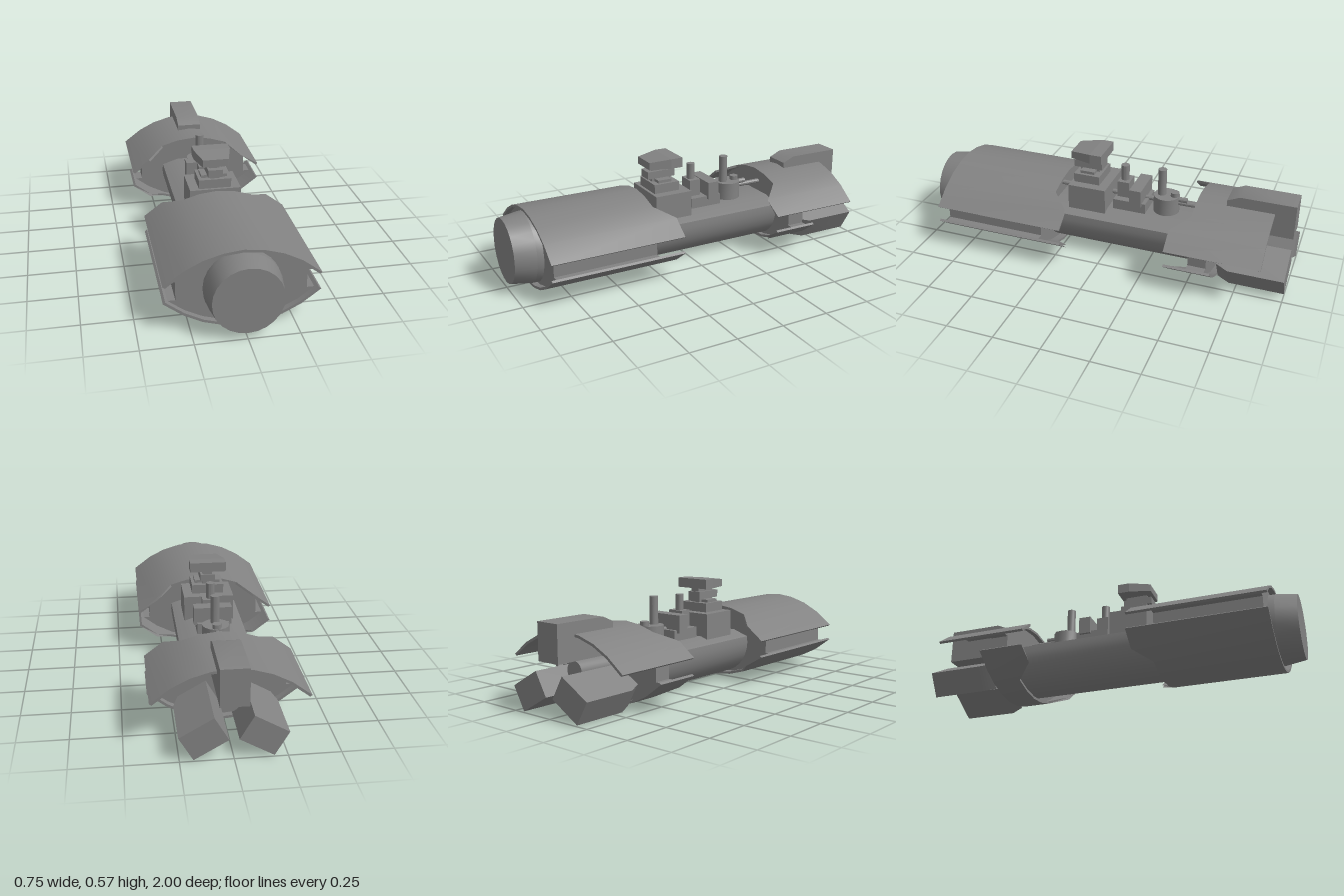
import * as THREE from 'three';
import { toCreasedNormals } from 'three/addons/utils/BufferGeometryUtils.js';

const CY = 0.205; // height of the long axis
const mat = new THREE.MeshStandardMaterial({ color: 0x828282 });

// upper half of the hull section, outer and inner skin
const OUTER = [[0, 0.407], [0.095, 0.396], [0.19, 0.368], [0.28, 0.322], [0.375, 0.25]];
const INNER = [[0, 0.393], [0.093, 0.383], [0.185, 0.356], [0.273, 0.311], [0.364, 0.242]];

const mirrorX = (pts) => [...pts.slice(1).reverse().map(([x, y]) => [-x, y]), ...pts];
const flipY = (pts) => pts.map(([x, y]) => [x, 2 * CY - y]);
const toShape = (pts) => new THREE.Shape(pts.map(([x, y]) => new THREE.Vector2(x, y)));

export function createModel() {
  const model = new THREE.Group();

  function add(name, geo, parent = model) {
    const mesh = new THREE.Mesh(toCreasedNormals(geo, 0.55), mat);
    mesh.name = name;
    parent.add(mesh);
  }
  // section in x/y drawn from z0 to z1
  function extrude(pts, z0, z1) {
    const geo = new THREE.ExtrudeGeometry(toShape(pts), { depth: z1 - z0, bevelEnabled: false });
    return geo.translate(0, 0, z0);
  }
  function box(name, halfX, y0, y1, z0, z1) {
    const geo = new THREE.BoxGeometry(2 * halfX, y1 - y0, z1 - z0);
    add(name, geo.translate(0, (y0 + y1) / 2, (z0 + z1) / 2));
  }
  function post(name, r, y0, y1, z, sides = 16) {
    const geo = new THREE.CylinderGeometry(r, r, y1 - y0, sides);
    add(name, geo.translate(0, (y0 + y1) / 2, z));
  }
  function axial(name, rBack, rFront, z0, z1, y = CY, sides = 24) {
    const geo = new THREE.CylinderGeometry(rFront, rBack, z1 - z0, sides).rotateX(Math.PI / 2);
    add(name, geo.translate(0, y, (z0 + z1) / 2));
  }

  // curved shell plates; the end facing the middle has projecting side tabs
  function shell(name, zEnd, zCut, upper) {
    const ring = [...mirrorX(OUTER), ...mirrorX(INNER).reverse()];
    const geo = extrude(upper ? ring : flipY(ring), Math.min(zEnd, zCut), Math.max(zEnd, zCut));
    const p = geo.attributes.position;
    const tab = zCut > 0 ? -0.09 : 0.09;
    for (let i = 0; i < p.count; i++) {
      if (Math.abs(p.getZ(i) - zCut) < 1e-4 && Math.abs(p.getX(i)) > 0.22) p.setZ(i, zCut + tab);
    }
    add(name, geo);
  }
  shell('frontUpperShell', 0.886, 0.26, true);
  shell('frontLowerShell', 0.886, 0.26, false);
  shell('rearUpperShell', -0.895, -0.49, true);
  shell('rearLowerShell', -0.643, -0.49, false);

  // solid hull between the shells, with a slot along each side
  const half = mirrorX([...INNER.slice(0, 4), [0.35, 0.253], [0.313, 0.253]]);
  const hull = [...half, ...flipY(half).reverse()];
  add('frontHull', extrude(hull, 0.3, 0.856));
  add('rearHull', extrude(hull, -0.61, -0.515));

  // central core: nose, middle with a shallow ridged top, and tail hub
  axial('nose', 0.187, 0.187, 0.85, 0.89);
  axial('noseTaper', 0.187, 0.17, 0.89, 1.0);
  const cut = Math.asin(0.033 / 0.187);
  const section = [[0.093, 0.268], [-0.093, 0.268]];
  for (let i = 0; i <= 18; i++) {
    const a = Math.PI - cut + (i / 18) * (Math.PI + 2 * cut);
    section.push([0.187 * Math.cos(a), CY + 0.187 * Math.sin(a)]);
  }
  add('core', extrude(section, -0.53, 0.31));
  axial('tailHub', 0.05, 0.05, -0.84, -0.6);

  // three engine blocks around the tail; profile is (-z, radius)
  const engine = [[0.645, 0.066], [1, 0.066], [1, 0.254], [0.71, 0.254], [0.645, 0.225]];
  [0, 1, 2].forEach((i) => {
    const pivot = new THREE.Group();
    pivot.name = 'engineMount' + (i + 1);
    pivot.position.y = i === 0 ? CY : CY - 0.01; // lower pair hangs slightly
    pivot.rotation.z = (i * Math.PI * 2) / 3;
    add('engine', extrude(engine, -0.068, 0.068).rotateY(Math.PI / 2), pivot);
    model.add(pivot);
  });

  // bridge tower
  box('towerBase', 0.135, 0.245, 0.393, 0.0, 0.21);
  box('towerBlock', 0.086, 0.38, 0.442, 0.05, 0.195);
  box('towerCap', 0.069, 0.44, 0.457, 0.085, 0.165);
  box('lowerNeck', 0.025, 0.44, 0.465, 0.07, 0.18);
  box('neckSlab', 0.039, 0.461, 0.501, 0.05, 0.21);
  box('upperNeck', 0.025, 0.5, 0.525, 0.06, 0.18);

  // bridge head: square back, tapered front whose top slopes down
  box('bridgeHeadBack', 0.097, 0.522, 0.574, 0.035, 0.1);
  const taper = [[-0.097, -0.1], [-0.067, -0.215], [0.067, -0.215], [0.097, -0.1]];
  const headGeo = extrude(taper, 0.522, 0.574).rotateX(-Math.PI / 2);
  const hp = headGeo.attributes.position;
  for (let i = 0; i < hp.count; i++) {
    if (hp.getY(i) > 0.57 && hp.getZ(i) > 0.2) hp.setY(i, 0.562);
  }
  add('bridgeHeadFront', headGeo);

  // deck machinery
  box('machineryBase', 0.085, 0.26, 0.325, -0.21, -0.03);
  box('mastBlock', 0.045, 0.32, 0.415, -0.105, -0.04);
  post('shortMast', 0.022, 0.41, 0.5, -0.07);
  box('crossBlock', 0.1, 0.31, 0.405, -0.19, -0.125);
  post('drum', 0.07, 0.26, 0.362, -0.305, 20);
  post('tallMast', 0.023, 0.36, 0.51, -0.278);
  post('shortPost', 0.023, 0.36, 0.385, -0.35);
  axial('deckPipe', 0.013, 0.013, -0.53, 0.3, 0.325, 10);
  axial('drumPipe', 0.014, 0.014, -0.42, -0.34, 0.345, 10);

  return model;
}
